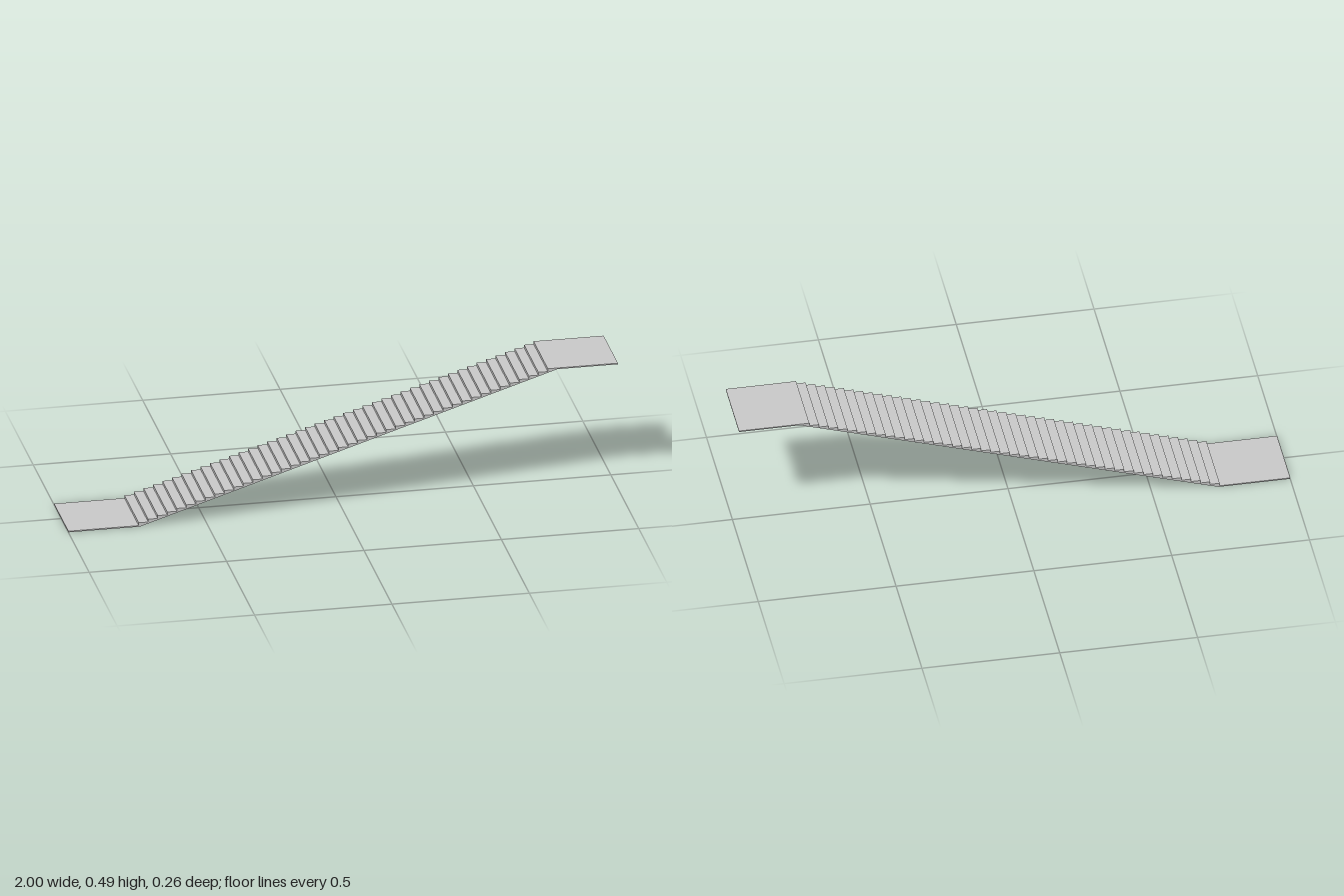
import * as THREE from 'three';

export function createModel() {
  const width = 0.256, thickness = 0.0045, height = 0.486;
  const risers = 44, startX = -0.744, endX = 0.745;
  const tread = (endX - startX) / (risers - 1);
  const rise = (height - thickness) / risers;

  // Side profile: lower landing, steps, upper landing, sloping underside
  const profile = new THREE.Shape();
  profile.moveTo(-1, 0);
  profile.lineTo(-0.74, 0);
  profile.lineTo(0.78, height - thickness);
  profile.lineTo(1, height - thickness);
  profile.lineTo(1, height);
  for (let i = risers - 1; i >= 0; i--) {
    const x = startX + i * tread;
    profile.lineTo(x, thickness + (i + 1) * rise);
    profile.lineTo(x, thickness + i * rise);
  }
  profile.lineTo(-1, thickness);
  profile.closePath();

  // Sweep the profile across the width of the stair
  const geometry = new THREE.ExtrudeGeometry(profile, { depth: width, bevelEnabled: false });
  geometry.translate(0, 0, -width / 2);

  const stair = new THREE.Mesh(
    geometry,
    new THREE.MeshStandardMaterial({ color: 0xcccccc, flatShading: true })
  );
  stair.name = 'stairFlightWithLandings';

  const group = new THREE.Group();
  group.name = 'staircase';
  group.add(stair);
  return group;
}
